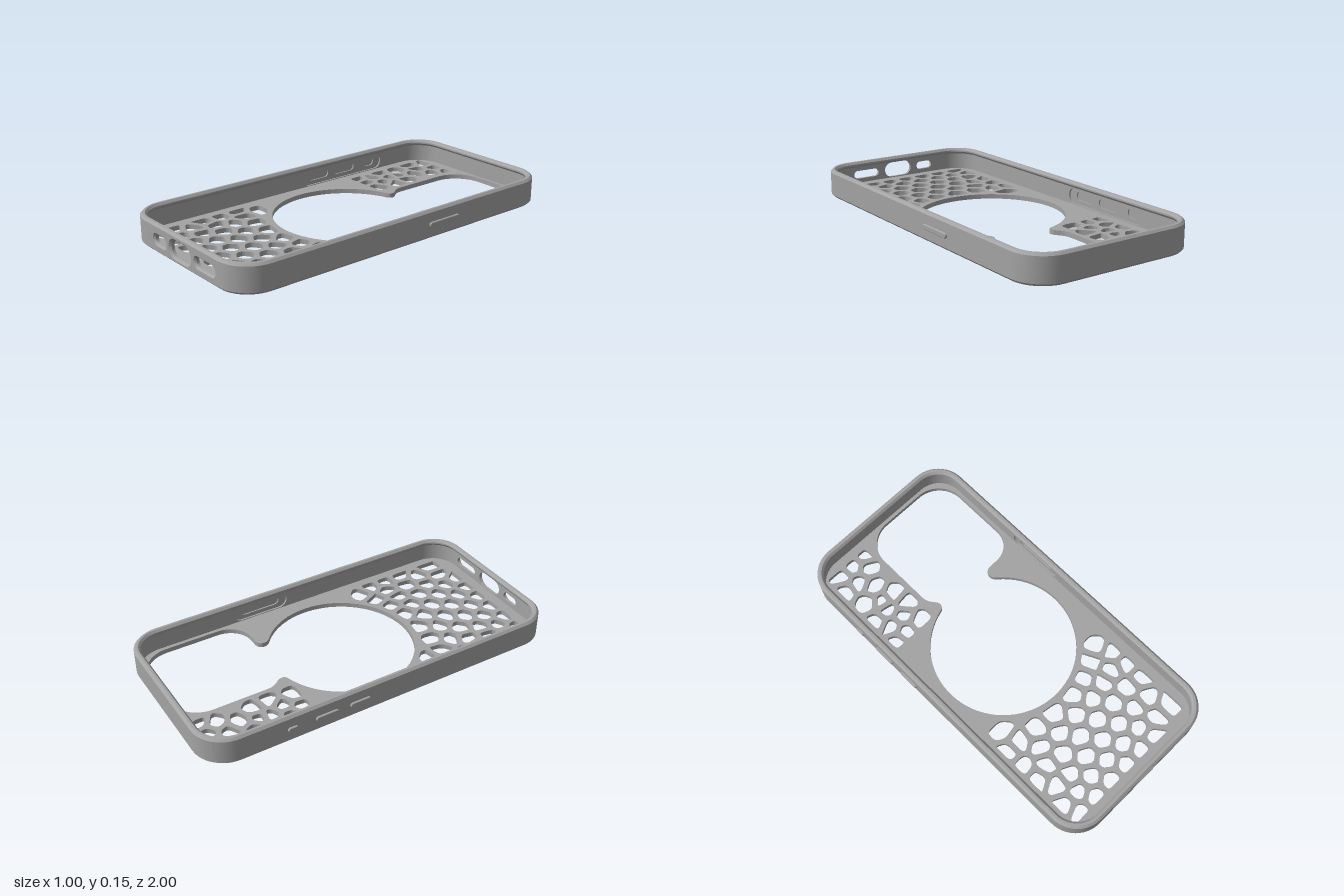
import * as THREE from 'three';

const W = 0.49, L = 1, R = 0.17, ARC = 12;
const FLOOR = 0.025, INNER = 0.026;      // floor thickness, wall thickness
const mat = new THREE.MeshStandardMaterial({ color: 0xa3a3a3, side: THREE.DoubleSide });
mat.name = 'case grey';

function add(parent, geo, name) {
  const m = new THREE.Mesh(geo, mat);
  m.name = name;
  parent.add(m);
  return m;
}

// Band of faces between two closed loops of equal length
function strip(a, b, keep = () => true) {
  const n = a.length, idx = [];
  for (let i = 0; i < n; i++) {
    if (!keep(i)) continue;
    const j = (i + 1) % n;
    idx.push(i, j, n + j, i, n + j, n + i);
  }
  const g = new THREE.BufferGeometry().setFromPoints([...a, ...b]);
  g.setIndex(idx);
  g.computeVertexNormals();
  return g;
}

// Rounded rectangle outline, inset by d
function outline(d) {
  const pts = [];
  [[1, 1], [-1, 1], [-1, -1], [1, -1]].forEach(([sx, sy], k) => {
    for (let i = 0; i <= ARC; i++) {
      const t = (k + i / ARC) * Math.PI / 2;
      pts.push(new THREE.Vector2(sx * (W - R) + (R - d) * Math.cos(t), sy * (L - R) + (R - d) * Math.sin(t)));
    }
  });
  return pts;
}

function stadium(cx, cy, hw, hh) {
  const pts = [], n = 12, e = Math.max(hw - hh, 0), r = Math.min(hw, hh);
  for (const s of [1, -1])
    for (let i = 0; i <= n; i++) {
      const t = (-0.5 + i / n) * Math.PI;
      pts.push(new THREE.Vector2(cx + s * (e + r * Math.cos(t)), cy + s * hh * Math.sin(t)));
    }
  return pts;
}

const at = (pts, z) => pts.map(p => new THREE.Vector3(p.x, p.y, z));

function flat(pts, holes, z) {
  const s = new THREE.Shape(pts);
  s.holes = holes.map(h => new THREE.Path(h));
  return new THREE.ShapeGeometry(s).translate(0, 0, z);
}

const rect = (h, y0, y1) => [[-h, y0], [h, y0], [h, y1], [-h, y1]].map(p => new THREE.Vector2(...p));

// Straight wall section facing +z: ports go right through, buttons sit over an inside pocket
function wall(parent, name, w, half, angle, { ports = [], buttons = [], pocket } = {}) {
  const g = new THREE.Group();
  g.name = name;
  g.rotation.y = angle;
  parent.add(g);
  const wide = ports.map(p => stadium(...p));
  const narrow = ports.map(([x, y, a, b]) => stadium(x, y, a - 0.011, b - 0.01));
  const recess = pocket ? [stadium(...pocket)] : [];
  add(g, flat(rect(half, 0.012, 0.138), wide, w), 'outerFace');
  add(g, flat(rect(half, FLOOR, 0.118), [...narrow, ...recess], w - INNER), 'innerFace');
  ports.forEach((_, i) => {
    add(g, strip(at(narrow[i], w - 0.01), at(wide[i], w)), 'portChamfer');
    add(g, strip(at(narrow[i], w - INNER), at(narrow[i], w - 0.01)), 'portTunnel');
  });
  if (!pocket) return;
  const slots = buttons.map(([u, h]) => stadium(u, 0.075, h + 0.012, 0.024));
  add(g, strip(at(recess[0], w - INNER), at(recess[0], w - 0.016)), 'pocketRim');
  add(g, flat(recess[0], slots, w - 0.016), 'pocketFloor');
  slots.forEach(s => {
    add(g, strip(at(s, w - 0.016), at(s, w - 0.008)), 'slotRim');
    add(g, flat(s, [], w - 0.008), 'slotFloor');
  });
  buttons.forEach(([u, h]) => {
    const geo = new THREE.ExtrudeGeometry(new THREE.Shape(stadium(u, 0.075, h - 0.003, 0.01)),
      { depth: 0.008, bevelSize: 0.003, bevelThickness: 0.003, bevelSegments: 1 });
    add(g, geo.translate(0, 0, w - 0.001), 'button');
  });
}

// Keep the part of a polygon where p.n <= c
function clip(poly, nx, ny, c) {
  const out = [];
  poly.forEach((p, i) => {
    const q = poly[(i + 1) % poly.length];
    const dp = p.x * nx + p.y * ny - c, dq = q.x * nx + q.y * ny - c;
    if (dp <= 0) out.push(p);
    if (dp * dq < 0) out.push(p.clone().lerp(q, dp / (dp - dq)));
  });
  return out;
}

// Rounded cell holes around the given sites (x, z in hundredths)
function cells(sites, x0, x1, z0, z1) {
  const pts = sites.map(([x, z]) => new THREE.Vector2(x / 100, -z / 100));
  const holes = [];
  for (const s of pts) {
    let poly = [];
    for (let i = 0; i < 8; i++) {
      const t = (i + 0.5) * Math.PI / 4;
      poly.push(new THREE.Vector2(s.x + 0.07 * Math.cos(t), s.y + 0.07 * Math.sin(t)));
    }
    for (const o of pts) {
      if (o === s) continue;
      const n = o.clone().sub(s).normalize();
      poly = clip(poly, n.x, n.y, n.dot(o.clone().add(s).multiplyScalar(0.5)) - 0.013);
    }
    poly = clip(poly, 1, 0, x1);
    poly = clip(poly, -1, 0, -x0);
    poly = clip(poly, 0, 1, -z0);
    poly = clip(poly, 0, -1, z1);
    const r = s.clone().normalize();
    poly = clip(poly, -r.x, -r.y, -0.415);
    if (poly.length < 3) continue;
    const path = new THREE.Path(), n = poly.length;
    poly.forEach((p, i) => {
      const a = p.clone().lerp(poly[(i + n - 1) % n], 0.35), b = p.clone().lerp(poly[(i + 1) % n], 0.35);
      if (i) path.lineTo(a.x, a.y); else path.moveTo(a.x, a.y);
      path.quadraticCurveTo(p.x, p.y, b.x, b.y);
    });
    holes.push(path.getPoints(4));
  }
  return holes;
}

// Round opening joined to the camera window, with two rounded horns
function cutout() {
  const p = new THREE.Path();
  p.absarc(0, 0, 0.385, 0.881, 1.833, true);
  p.quadraticCurveTo(-0.078, 0.378, -0.078, 0.4);
  p.bezierCurveTo(-0.078, 0.43, -0.12, 0.44, -0.12, 0.5);
  p.absarc(0.04, 0.795, 0.16, Math.PI, Math.PI / 2, true);
  p.absarc(0.284, 0.795, 0.16, Math.PI / 2, 0, true);
  p.absarc(0.314, 0.5, 0.13, 0, -Math.PI / 2, true);
  p.lineTo(0.265, 0.37);
  p.bezierCurveTo(0.225, 0.37, 0.21, 0.325, 0.245, 0.297);
  return p.getPoints(32);
}

const lowerSites = [
  [-33, 32], [34, 35], [26, 39], [-39, 43], [-31, 43], [-20, 45], [-8, 46], [7, 46], [17, 43], [38, 43],
  [-39, 53], [-25, 52], [-13, 54], [0, 53], [12, 53], [22, 51], [30, 49], [39, 53],
  [-38, 63], [-30, 61], [-20, 63], [-7, 63], [6, 63], [18, 63], [29, 62], [39, 63],
  [-33, 72], [-25, 73], [-12, 72], [0, 72], [12, 72], [24, 72], [33, 73],
  [-38, 82], [-28, 82], [-18, 81], [-6, 81], [6, 81], [18, 81], [28, 83], [38, 83],
  [-35, 89], [-24, 89], [-12, 89], [-1, 89], [10, 89], [20, 89]];
const upperSites = [
  [-35, -89], [-26, -89], [-17, -90], [-39, -82], [-30, -80], [-21, -83], [-26, -73], [-35, -68],
  [-29, -63], [-21, -62], [-39, -57], [-30, -58], [-20, -54], [-26, -49], [-35, -49], [-39, -41],
  [-31, -42], [-22, -41]];

export function createModel() {
  const root = new THREE.Group();
  root.name = 'phoneCase';

  // Back plate
  const plate = new THREE.Shape(outline(0.012));
  plate.holes = [cutout(), ...cells(lowerSites, -0.415, 0.415, 0.28, 0.92),
    ...cells(upperSites, -0.415, -0.145, -0.925, -0.375)].map(h => new THREE.Path(h));
  const plateGeo = new THREE.ExtrudeGeometry(plate, { depth: FLOOR, bevelEnabled: false });
  add(root, plateGeo.rotateX(-Math.PI / 2), 'backPlate');

  // Rim: bottom chamfer, outer wall, top edge, inner lip, inner wall
  const profile = [[0.012, 0], [0, 0.012], [0, 0.138], [0.012, 0.15], [0.024, 0.15],
    [0.035, 0.138], [0.035, 0.13], [INNER, 0.118], [INNER, FLOOR]];
  const loops = profile.map(([d, y]) => outline(d).map(p => new THREE.Vector3(p.x, y, -p.y)));
  for (let i = 0; i < loops.length - 1; i++) {
    const cornersOnly = i === 1 || i === 7;
    add(root, strip(loops[i], loops[i + 1], k => !cornersOnly || k % (ARC + 1) !== ARC),
      cornersOnly ? 'wallCorners' : 'rimEdge');
  }

  // Straight walls
  wall(root, 'frontWall', L, W - R, 0, {
    ports: [[-0.183, 0.072, 0.063, 0.033], [-0.002, 0.073, 0.099, 0.053], [0.209, 0.072, 0.092, 0.033]] });
  wall(root, 'backWall', L, W - R, Math.PI);
  wall(root, 'leftWall', W, L - R, Math.PI / 2, {
    buttons: [[0.228, 0.103]], pocket: [0.228, 0.072, 0.16, 0.043] });
  wall(root, 'rightWall', W, L - R, -Math.PI / 2, {
    buttons: [[-0.5625, 0.0275], [-0.377, 0.063], [-0.192, 0.058]], pocket: [-0.36, 0.072, 0.29, 0.043] });
  return root;
}
